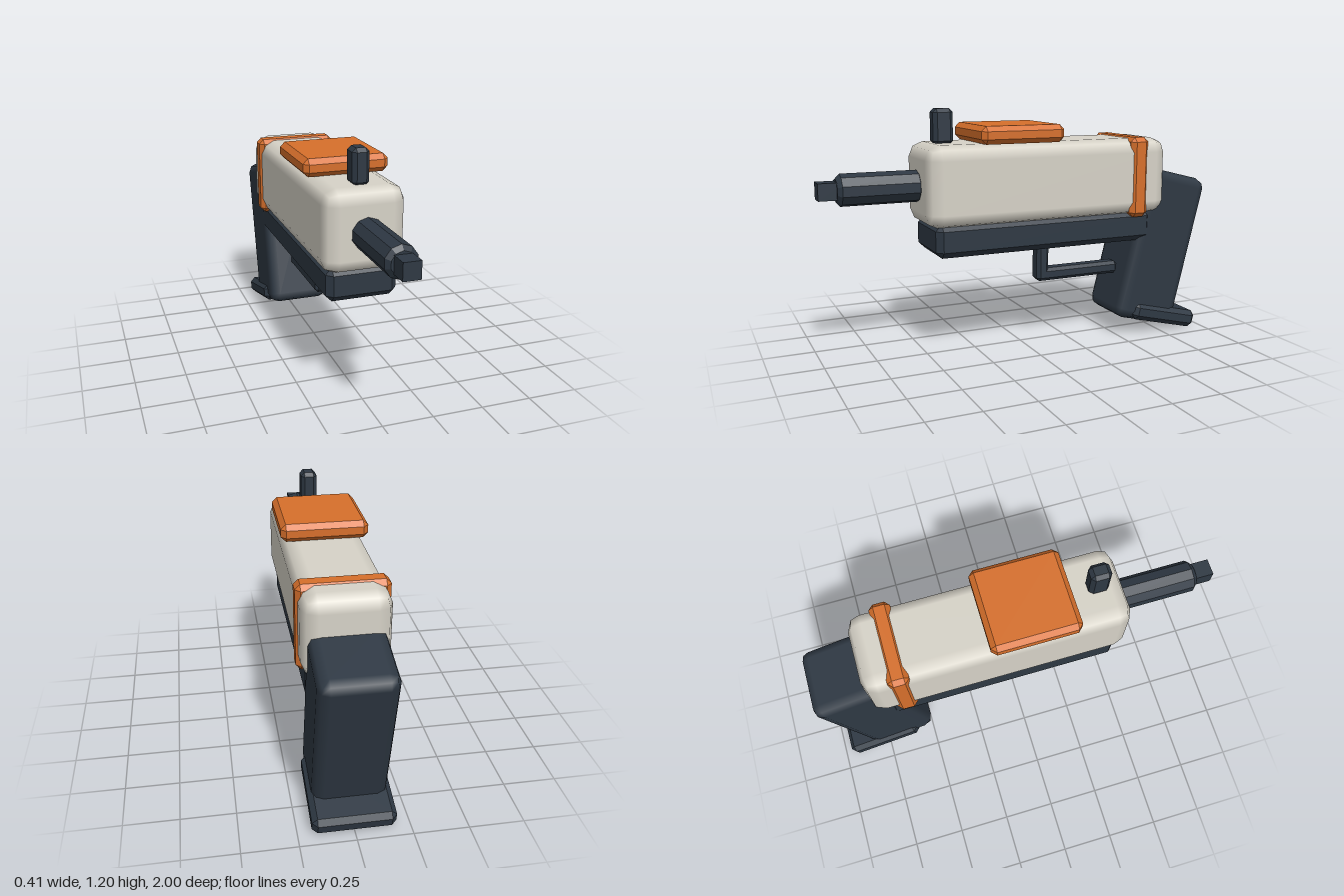
import * as THREE from 'three';
import { RoundedBoxGeometry } from 'three/addons/geometries/RoundedBoxGeometry.js';
import { ConvexGeometry } from 'three/addons/geometries/ConvexGeometry.js';

// Box with a single flat chamfer of size c on every edge
function chamferBox(w, h, d, c) {
  const half = [w / 2, h / 2, d / 2];
  const points = [];
  for (const sx of [-1, 1]) for (const sy of [-1, 1]) for (const sz of [-1, 1]) {
    for (let axis = 0; axis < 3; axis++) {
      const p = half.map((v, i) => (i === axis ? v : v - c));
      points.push(new THREE.Vector3(p[0] * sx, p[1] * sy, p[2] * sz));
    }
  }
  return new ConvexGeometry(points);
}

export function createModel() {
  const model = new THREE.Group();
  model.name = 'toyBlaster';

  const material = (name, color) => {
    const m = new THREE.MeshStandardMaterial({ color });
    m.name = name;
    return m;
  };
  const cream = material('cream', 0xd6d2c7);
  const slate = material('slate', 0x2e3843);
  const orange = material('orange', 0xd66f2b);

  const add = (name, geometry, mat, x, y, z, tilt = 0) => {
    const mesh = new THREE.Mesh(geometry, mat);
    mesh.name = name;
    mesh.position.set(x, y, z);
    mesh.rotation.x = tilt;
    model.add(mesh);
    return mesh;
  };
  // Chamfered block centred on x, given by its y and z ranges
  const block = (name, mat, w, [y0, y1], [z0, z1], c) =>
    add(name, chamferBox(w, y1 - y0, z1 - z0, c), mat, 0, (y0 + y1) / 2, (z0 + z1) / 2);

  // Main housing and the rail below it
  add('body', new RoundedBoxGeometry(0.39, 0.39, 1.275, 1, 0.07), cream, 0, 0.843, -0.105);
  block('underRail', slate, 0.34, [0.51, 0.67], [-0.67, 0.49], 0.03);

  // Orange trim
  block('rearBand', orange, 0.41, [0.64, 1.045], [-0.625, -0.525], 0.023);
  block('topPlate', orange, 0.41, [1.037, 1.122], [-0.15, 0.275], 0.024);

  // Front sight
  block('sight', slate, 0.08, [1.03, 1.2], [0.357, 0.455], 0.018);

  // Ten-sided barrel with bevelled ends, and a square tip
  const profile = [[0, -0.2], [0.055, -0.2], [0.076, -0.18], [0.076, 0.18], [0.055, 0.2], [0, 0.2]]
    .map(([r, y]) => new THREE.Vector2(r, y));
  const barrel = new THREE.LatheGeometry(profile, 10).rotateX(Math.PI / 2).toNonIndexed();
  barrel.computeVertexNormals();
  add('barrel', barrel, slate, 0, 0.84, 0.715);
  add('barrelTip', new THREE.BoxGeometry(0.08, 0.08, 0.12), slate, 0, 0.84, 0.94);

  // Trigger guard
  block('guardPost', slate, 0.08, [0.315, 0.54], [-0.147, -0.082], 0.016);
  block('guardBar', slate, 0.08, [0.315, 0.38], [-0.55, -0.09], 0.016);

  // Raked grip with its base plate
  const rake = THREE.MathUtils.degToRad(-14);
  add('grip', new RoundedBoxGeometry(0.34, 0.8, 0.35, 1, 0.05), slate, 0, 0.453, -0.75, rake);
  add('gripBase', chamferBox(0.375, 0.09, 0.39, 0.024), slate, 0, 0.09, -0.767, rake);

  return model;
}
